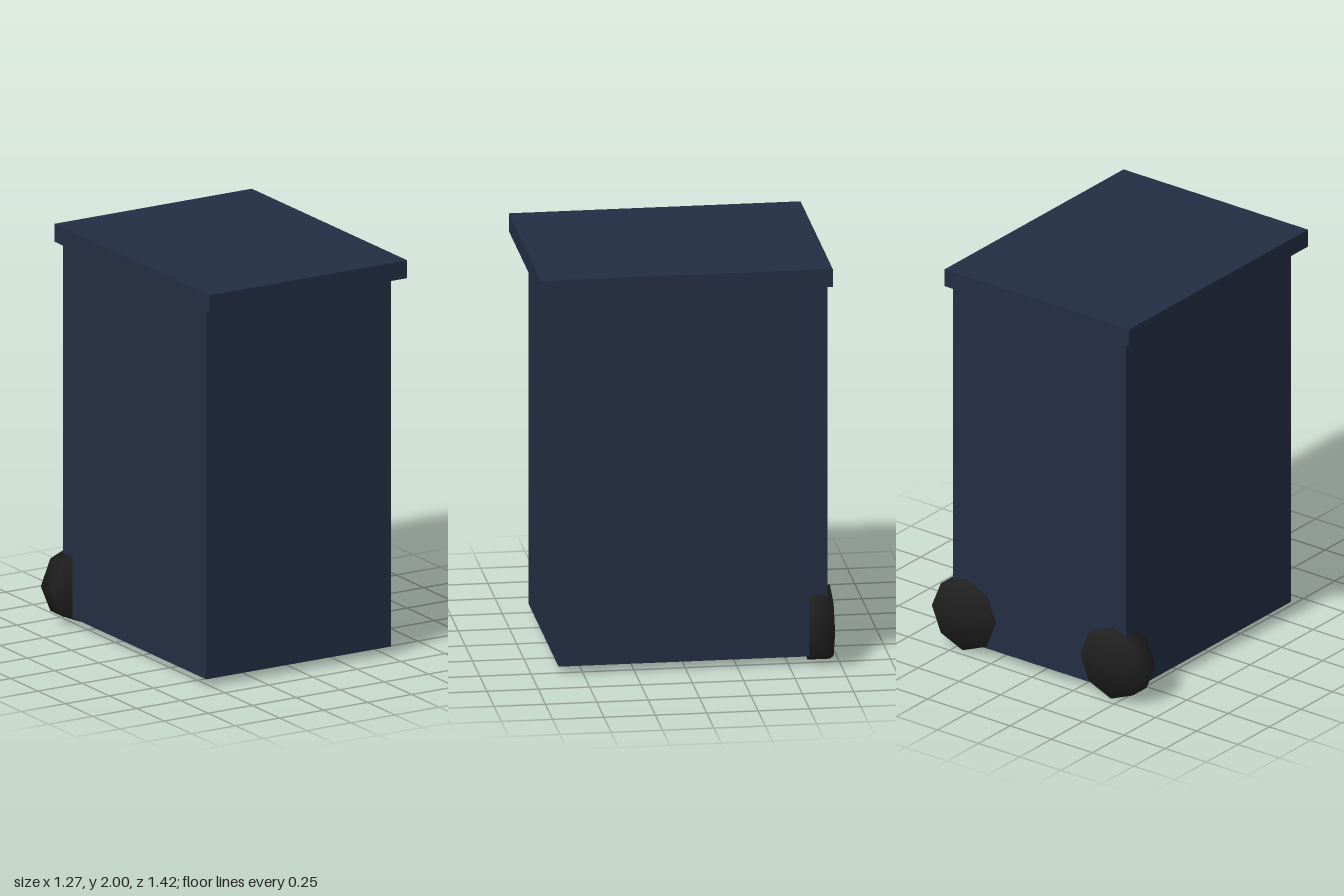
import * as THREE from 'three';
import { mergeVertices } from 'three/addons/utils/BufferGeometryUtils.js';

export function createModel() {
  const group = new THREE.Group();
  const binBlue = new THREE.MeshStandardMaterial({ color: 0x232e43 });
  binBlue.name = 'binBlue';
  const tyreBlack = new THREE.MeshStandardMaterial({ color: 0x202020 });
  tyreBlack.name = 'tyreBlack';

  const add = (name, geometry, material, x, y, z) => {
    const mesh = new THREE.Mesh(geometry, material);
    mesh.name = name;
    mesh.position.set(x, y, z);
    group.add(mesh);
  };

  // Bin body, set slightly back under the lid
  add('body', new THREE.BoxGeometry(1.05, 1.87, 1.31), binBlue, 0, 0.975, -0.035);

  // Overhanging lid
  add('lid', new THREE.BoxGeometry(1.12, 0.09, 1.42), binBlue, 0, 1.955, 0);

  // Eight-sided wheels with softened edges, at the back corners
  let wheel = new THREE.CylinderGeometry(0.187, 0.187, 0.11, 8).rotateX(Math.PI / 2);
  wheel.deleteAttribute('normal');
  wheel.deleteAttribute('uv');
  wheel = mergeVertices(wheel);
  wheel.computeVertexNormals();
  for (const side of [1, -1]) {
    add(side > 0 ? 'leftWheel' : 'rightWheel', wheel, tyreBlack, side * 0.45, 0.188, -0.656);
  }

  return group;
}
